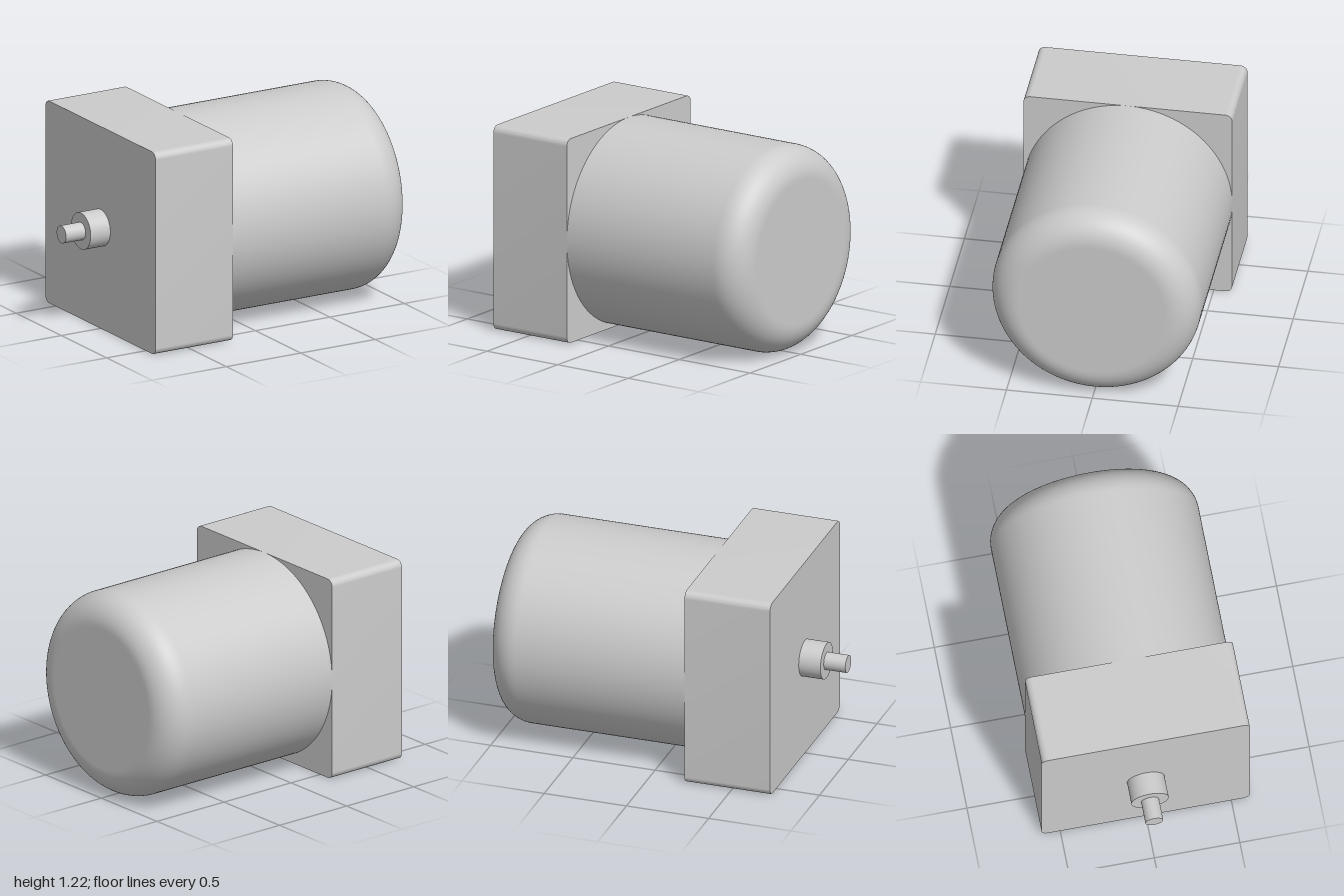
import * as THREE from 'three';
import { toCreasedNormals } from 'three/addons/utils/BufferGeometryUtils.js';

const HALF = 0.608; // half the block width, also the housing radius

export function createModel() {
  const group = new THREE.Group();
  const material = new THREE.MeshStandardMaterial({ color: 0xcccccc });

  const add = (name, geometry) => {
    const mesh = new THREE.Mesh(geometry, material);
    mesh.name = name;
    mesh.position.y = HALF;
    group.add(mesh);
  };

  // Solid cylinder lying along x from x0 to x1
  const rod = (name, radius, x0, x1) => {
    const geometry = new THREE.CylinderGeometry(radius, radius, x1 - x0, 64);
    geometry.rotateZ(-Math.PI / 2).translate((x0 + x1) / 2, 0, 0);
    add(name, geometry);
  };

  // Square mounting block with its four long edges rounded
  const r = 0.04;
  const k = HALF - r;
  const square = new THREE.Shape();
  square.absarc(k, k, r, 0, Math.PI / 2);
  square.absarc(-k, k, r, Math.PI / 2, Math.PI);
  square.absarc(-k, -k, r, Math.PI, Math.PI * 1.5);
  square.absarc(k, -k, r, Math.PI * 1.5, Math.PI * 2);
  square.closePath();
  const block = new THREE.ExtrudeGeometry(square, { depth: 0.52, bevelEnabled: false, curveSegments: 10 });
  block.rotateY(Math.PI / 2).translate(-0.737, 0, 0);
  add('mountingBlock', toCreasedNormals(block, 0.6));

  // Round housing with a filleted closed end
  const fillet = 0.175;
  const profile = [new THREE.Vector2(HALF, -0.217), new THREE.Vector2(HALF, 0.815)];
  for (let i = 0; i <= 16; i++) {
    const a = (i / 16) * Math.PI / 2;
    profile.push(new THREE.Vector2(HALF - fillet + fillet * Math.cos(a), 1 - fillet + fillet * Math.sin(a)));
  }
  profile.push(new THREE.Vector2(HALF - fillet - 0.01, 1), new THREE.Vector2(0, 1));
  add('housing', new THREE.LatheGeometry(profile, 128).rotateZ(-Math.PI / 2));

  // Stepped output shaft
  rod('shaftCollar', 0.109, -0.869, -0.737);
  rod('shaft', 0.052, -1, -0.869);

  return group;
}
